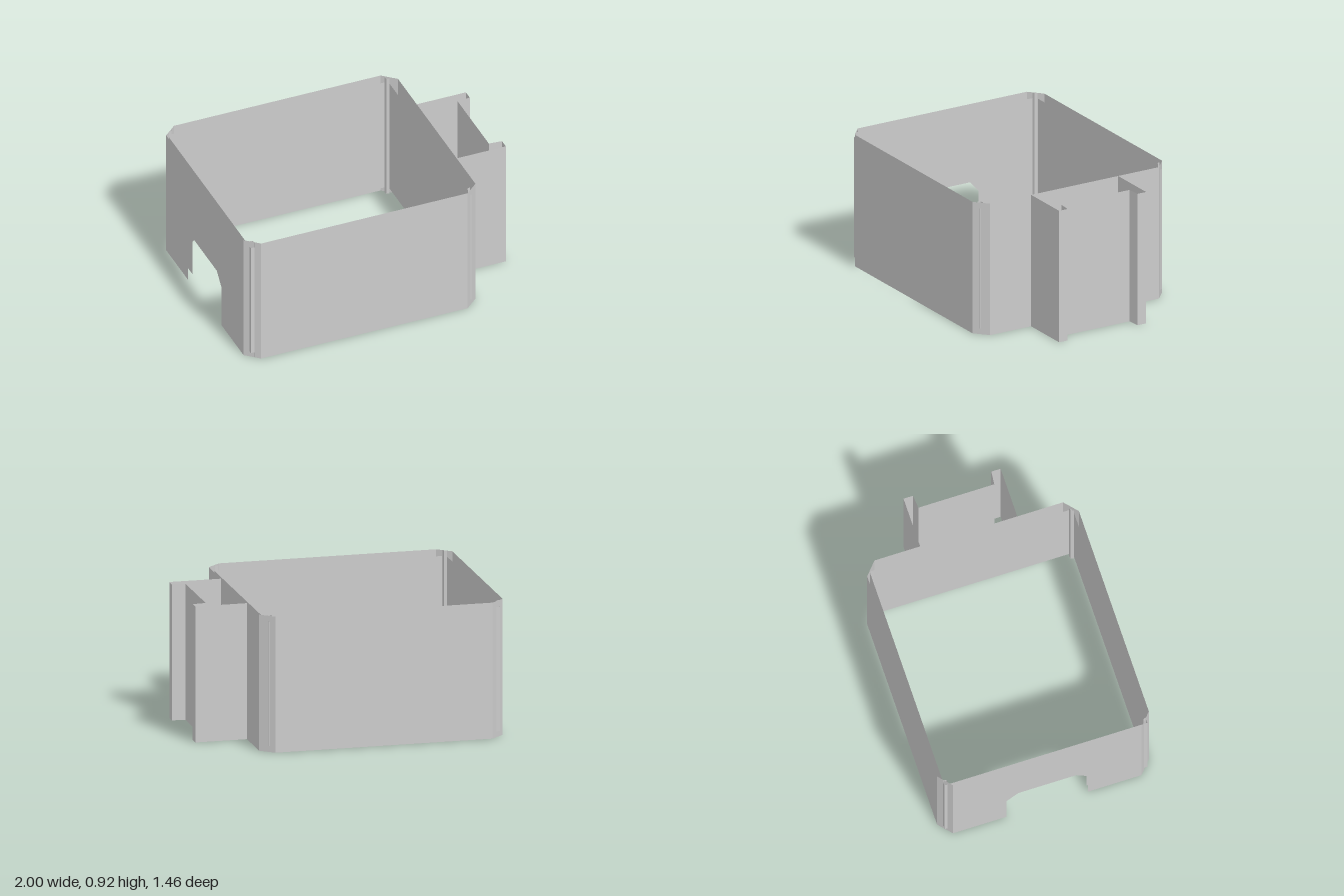
import * as THREE from 'three';

const material = new THREE.MeshStandardMaterial({ color: 0xcccccc, side: THREE.DoubleSide, flatShading: true });
const HEIGHT = 0.92;

// Folded sheet: upright faces along a path of [x, z] points
function sheet(name, path, y0, y1) {
  const pos = [];
  for (let i = 0; i < path.length - 1; i++) {
    const [ax, az] = path[i], [bx, bz] = path[i + 1];
    pos.push(ax, y0, az, bx, y0, bz, bx, y1, bz, ax, y0, az, bx, y1, bz, ax, y1, az);
  }
  const geo = new THREE.BufferGeometry();
  geo.setAttribute('position', new THREE.Float32BufferAttribute(pos, 3));
  geo.computeVertexNormals();
  const mesh = new THREE.Mesh(geo, material);
  mesh.name = name;
  return mesh;
}

// End wall in the yz plane with a chamfered doorway open at the bottom
function archWall(name, x, halfZ, y0, y1) {
  const outline = [
    [-halfZ, y0], [-0.28, y0], [-0.28, 0.3], [-0.2, 0.385],
    [0.2, 0.385], [0.28, 0.3], [0.28, y0], [halfZ, y0], [halfZ, y1], [-halfZ, y1],
  ];
  const shape = new THREE.Shape(outline.map(([z, y]) => new THREE.Vector2(z, y)));
  const mesh = new THREE.Mesh(new THREE.ShapeGeometry(shape), material);
  mesh.rotation.y = -Math.PI / 2;
  mesh.position.x = x;
  mesh.name = name;
  return mesh;
}

export function createModel() {
  const group = new THREE.Group();

  // Outer shell with chamfered corners
  group.add(sheet('outerShell', [
    [-1, 0.65], [-0.91, 0.73], [0.56, 0.73], [0.65, 0.65],
    [0.65, -0.65], [0.56, -0.73], [-0.91, -0.73], [-1, -0.65],
  ], 0, HEIGHT));
  group.add(archWall('outerDoorWall', -1, 0.65, 0, HEIGHT));

  // Inner lining, a little shorter than the shell
  const x0 = -0.97, x1 = 0.6, z1 = 0.7, low = 0.04, high = 0.88;
  group.add(sheet('innerLining', [[x0, z1], [x1, z1], [x1, -z1]], low, high));
  group.add(archWall('innerDoorWall', x0, z1, low, high));

  // Back lining with a long narrow slot
  const back = new THREE.Shape([[x0, low], [x1, low], [x1, high], [x0, high]].map((p) => new THREE.Vector2(...p)));
  back.holes.push(new THREE.Path([[-0.66, 0.39], [-0.66, 0.46], [0.05, 0.46], [0.05, 0.39]].map((p) => new THREE.Vector2(...p))));
  const backLining = new THREE.Mesh(new THREE.ShapeGeometry(back), material);
  backLining.position.z = -z1;
  backLining.name = 'backLining';
  group.add(backLining);

  // Slim folded corner strips inside the lining
  for (const [x, sx] of [[x0, 1], [x1, -1]]) {
    for (const s of [1, -1]) {
      group.add(sheet('cornerStrip', [[x + sx * 0.025, s * z1], [x + sx * 0.02, s * (z1 - 0.02)], [x, s * (z1 - 0.025)]], 0, HEIGHT));
    }
  }

  // Side bay: cheeks, front flanges, returns and the recessed panel
  group.add(sheet('sideBay', [
    [0.65, 0.335], [1, 0.335], [1, 0.27], [0.91, 0.262],
    [0.91, -0.262], [1, -0.27], [1, -0.335], [0.65, -0.335],
  ], 0, HEIGHT));

  return group;
}
